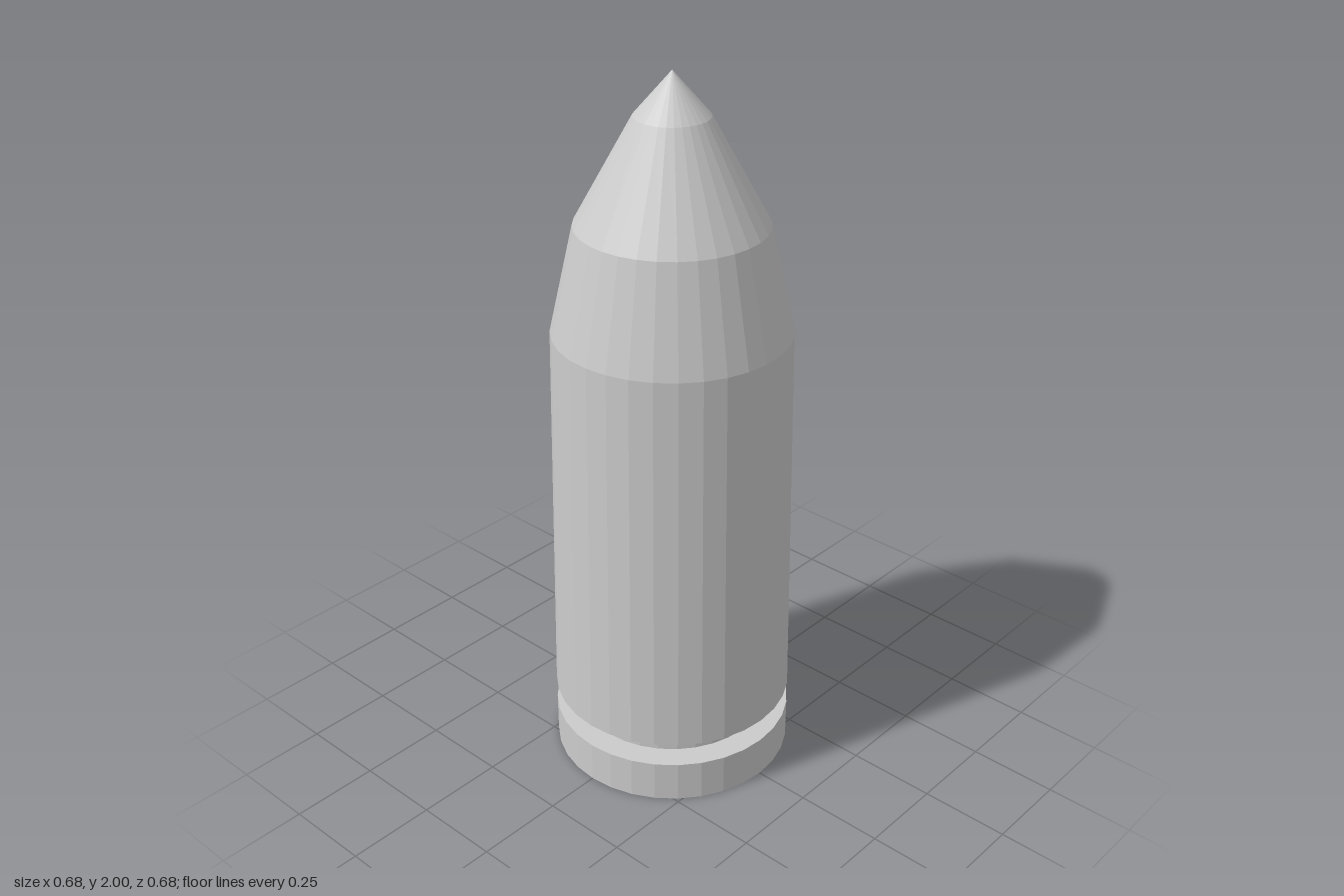
import * as THREE from 'three';

const SIDES = 32;
const material = new THREE.MeshStandardMaterial({ color: 0xcccccc, flatShading: true });

// Turned part from a [radius, height] profile, listed bottom to top
function turned(name, profile) {
  const points = profile.map(([r, y]) => new THREE.Vector2(r, y));
  const mesh = new THREE.Mesh(new THREE.LatheGeometry(points, SIDES), material);
  mesh.name = name;
  return mesh;
}

export function createModel() {
  const group = new THREE.Group();
  group.name = 'cartridge';
  group.add(
    // Base disc with its upper ledge
    turned('rim', [[0, 0], [0.34, 0], [0.34, 0.12], [0.27, 0.12]]),
    // Narrow neck between rim and case
    turned('extractorGroove', [[0.27, 0.12], [0.27, 0.19]]),
    // Slightly tapering case with its underside ledge
    turned('case', [[0.27, 0.19], [0.34, 0.19], [0.323, 1.305]]),
    // Nose in three cone steps
    turned('bulletTip', [[0.323, 1.305], [0.257, 1.6], [0.1, 1.885], [0, 2]]),
  );
  return group;
}
